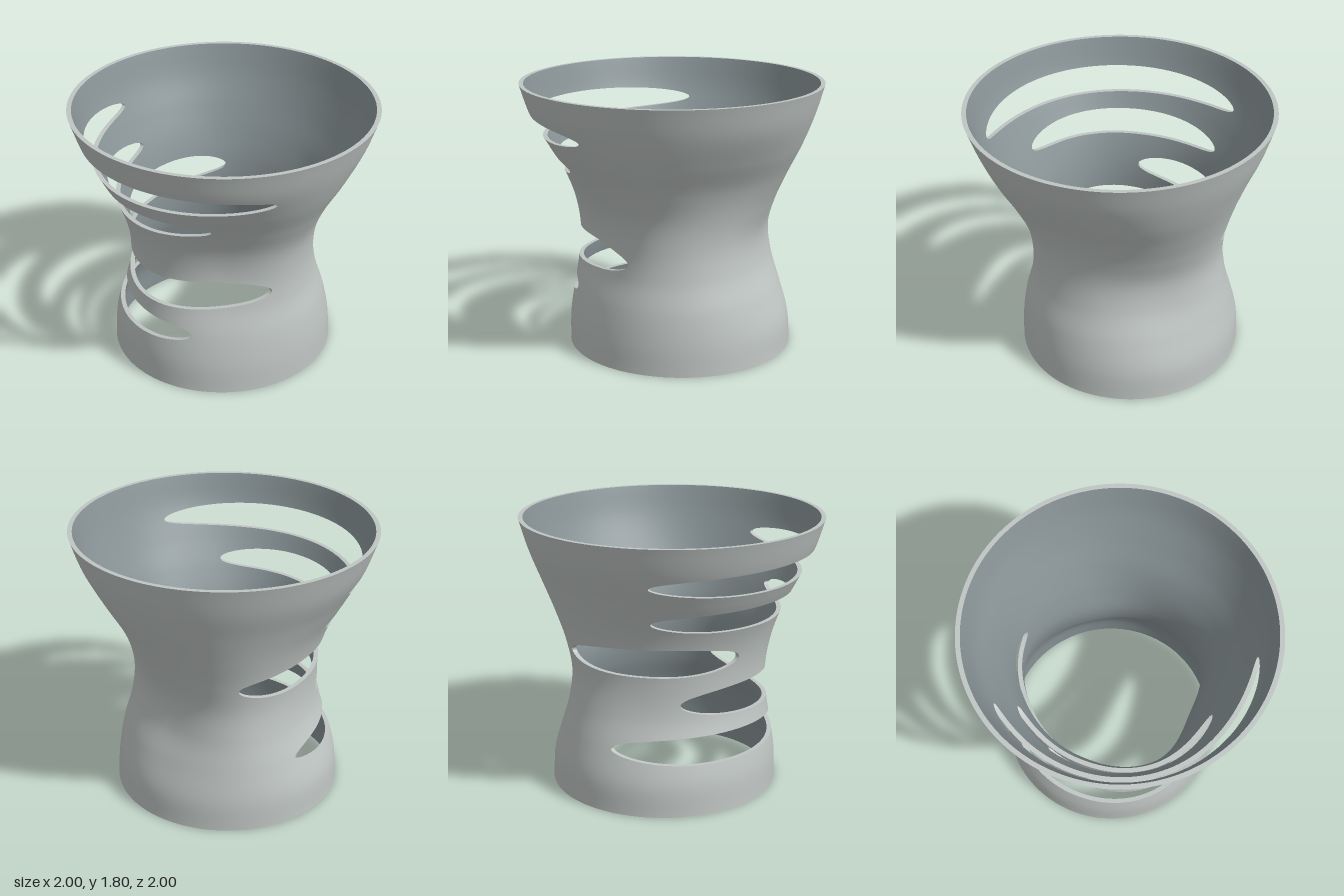
import * as THREE from 'three';

const HEIGHT = 1.8, WALL = 0.03, STEP = 0.2, ROWS = 10;
const RAD = Math.PI / 180;

// Outer radius every 0.2 up the height, one row per 45 degrees from +x towards +z
const PROFILES = [
  [0.695, 0.69, 0.665, 0.62, 0.61, 0.64, 0.73, 0.84, 0.93, 1],
  [0.685, 0.67, 0.63, 0.57, 0.545, 0.58, 0.68, 0.81, 0.93, 1],
  [0.715, 0.71, 0.68, 0.65, 0.64, 0.67, 0.735, 0.835, 0.935, 1],
  [0.765, 0.75, 0.70, 0.645, 0.63, 0.65, 0.72, 0.83, 0.93, 1],
  [0.815, 0.80, 0.735, 0.665, 0.645, 0.665, 0.725, 0.825, 0.93, 1],
  [0.83, 0.82, 0.78, 0.735, 0.71, 0.735, 0.79, 0.86, 0.94, 1],
  [0.80, 0.78, 0.71, 0.63, 0.61, 0.67, 0.76, 0.86, 0.94, 1],
  [0.745, 0.73, 0.69, 0.63, 0.605, 0.63, 0.70, 0.82, 0.93, 1],
];

// Slots from bottom to top: centre height, half height, start and end angle
const SLOTS = [
  { y: 0.41, h: 0.087, from: 65, to: 196 },
  { y: 0.695, h: 0.105, from: 14, to: 160 },
  { y: 0.98, h: 0.098, from: 124, to: 227 },
  { y: 1.263, h: 0.078, from: 52, to: 175 },
  { y: 1.528, h: 0.083, from: 25, to: 174 },
];

function cubic(a, b, c, d, t) {
  return b + 0.5 * t * (c - a + t * (2 * a - 5 * b + 4 * c - d + t * (3 * (b - c) + d - a)));
}

function profileRadius(p, y) {
  const f = y / STEP, i = Math.min(8, Math.max(0, Math.floor(f)));
  const first = 2 * p[0] - p[1], last = 2 * p[9] - p[8];
  return cubic(i > 0 ? p[i - 1] : first, p[i], p[i + 1], i < 8 ? p[i + 2] : last, f - i);
}

function surfacePoint(angle, y, inset) {
  const f = angle / 45, i = Math.floor(f);
  const r = [-1, 0, 1, 2].map((k) => profileRadius(PROFILES[(i + k + 16) % 8], y));
  const radius = cubic(...r, f - i) - inset;
  return new THREE.Vector3(radius * Math.cos(angle * RAD), y, radius * Math.sin(angle * RAD));
}

function surfaceNormal(angle, y) {
  const e = 0.002;
  const du = surfacePoint(angle + 0.1, y, 0).sub(surfacePoint(angle - 0.1, y, 0));
  const dv = surfacePoint(angle, y + e, 0).sub(surfacePoint(angle, y - e, 0));
  return dv.cross(du).normalize();
}

function slotHalfHeight(slot, angle) {
  const t = Math.abs(angle - (slot.from + slot.to) / 2) / ((slot.to - slot.from) / 2);
  return t >= 1 - 1e-9 ? 0 : slot.h * Math.sqrt(1 - Math.pow(t, 2.4));
}

// Columns round the wall, packed closer at the rounded slot ends
function columnAngles() {
  const angles = [];
  for (let i = 0; i <= 180; i++) angles.push(i * 2);
  for (const s of SLOTS) {
    for (let k = 0; k < 8; k++) {
      const d = 0.06 * k * k;
      angles.push(s.from + d, s.to - d);
    }
  }
  angles.sort((a, b) => a - b);
  return angles.filter((a, i) => i === 0 || a - angles[i - 1] > 1e-6);
}

function grid(columns, rows, vertex, flip, keep) {
  const pos = [], nor = [], index = [];
  for (let i = 0; i < columns; i++) {
    for (let j = 0; j <= rows; j++) {
      const { p, n } = vertex(i, j);
      pos.push(p.x, p.y, p.z);
      if (n) nor.push(n.x, n.y, n.z);
      if (i === columns - 1 || j === rows || (keep && !keep(i))) continue;
      const a = i * (rows + 1) + j, b = a + rows + 1;
      if (flip) index.push(a, a + 1, b, b, a + 1, b + 1);
      else index.push(a, b, a + 1, b, b + 1, a + 1);
    }
  }
  const g = new THREE.BufferGeometry();
  g.setAttribute('position', new THREE.Float32BufferAttribute(pos, 3));
  g.setIndex(index);
  if (nor.length) g.setAttribute('normal', new THREE.Float32BufferAttribute(nor, 3));
  else g.computeVertexNormals();
  return g;
}

export function createModel() {
  const model = new THREE.Group();
  model.name = 'slottedSleeve';
  const outerGrey = new THREE.MeshStandardMaterial({ color: 0xbfc5c3 });
  outerGrey.name = 'lightGrey';
  const innerGrey = new THREE.MeshStandardMaterial({ color: 0x889396 });
  innerGrey.name = 'blueGrey';

  const angles = columnAngles();
  const add = (name, geometry, material) => {
    const mesh = new THREE.Mesh(geometry, material);
    mesh.name = name;
    model.add(mesh);
  };

  // The wall is a stack of bands; neighbours meet wherever no slot parts them
  for (let b = 0; b <= SLOTS.length; b++) {
    const below = SLOTS[b - 1], above = SLOTS[b];
    const low = (a) => (below ? below.y + slotHalfHeight(below, a) : 0);
    const high = (a) => (above ? above.y - slotHalfHeight(above, a) : HEIGHT);

    const skin = (inset, sign) => (i, j) => {
      const a = angles[i], y = low(a) + (high(a) - low(a)) * j / ROWS;
      return { p: surfacePoint(a, y, inset), n: surfaceNormal(a, y).multiplyScalar(sign) };
    };
    add('outerBand' + b, grid(angles.length, ROWS, skin(0, 1), true), outerGrey);
    add('innerBand' + b, grid(angles.length, ROWS, skin(WALL, -1), false), innerGrey);

    // Wall thickness along the slots and at the two open rims
    const edge = (name, height, slot, facesUp) => {
      const keep = (i) => !slot || slotHalfHeight(slot, (angles[i] + angles[i + 1]) / 2) > 0;
      const vertex = (i, j) => ({ p: surfacePoint(angles[i], height(angles[i]), j ? WALL : 0) });
      add(name, grid(angles.length, 1, vertex, facesUp, keep), outerGrey);
    };
    edge(below ? 'slotCeiling' + b : 'bottomRim', low, below, false);
    edge(above ? 'slotFloor' + b : 'topRim', high, above, true);
  }
  return model;
}
